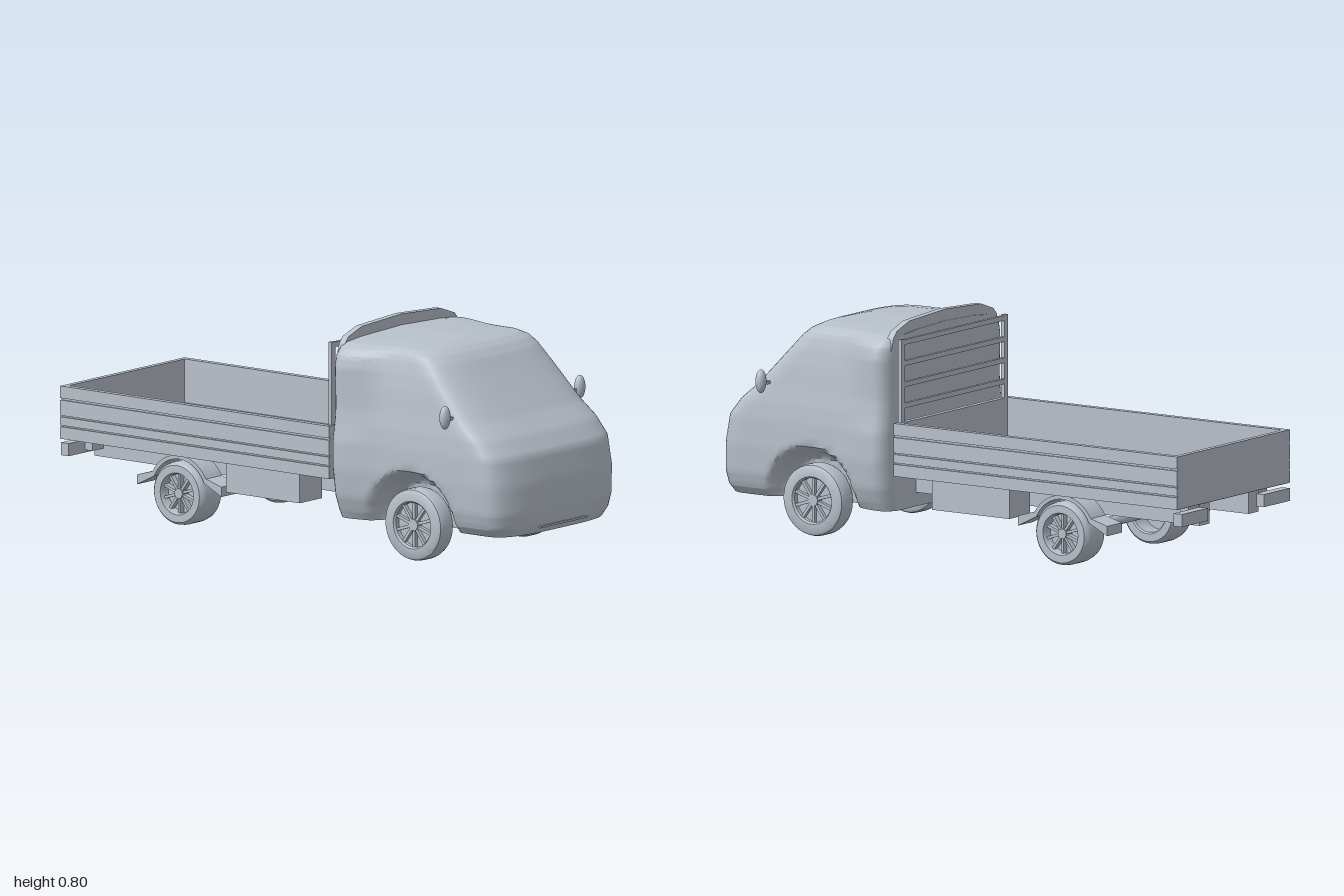
import * as THREE from 'three';
import { toCreasedNormals } from 'three/addons/utils/BufferGeometryUtils.js';

const paint = new THREE.MeshStandardMaterial({ color: 0xb8c0ca, side: THREE.DoubleSide });
paint.name = 'pale grey';

function add(parent, name, geometry) {
  const mesh = new THREE.Mesh(geometry, paint);
  mesh.name = name;
  parent.add(mesh);
  return mesh;
}

// Box given by its limits on each axis
function box(parent, name, x0, x1, y0, y1, z0, z1) {
  const m = add(parent, name, new THREE.BoxGeometry(Math.abs(x1 - x0), y1 - y0, Math.abs(z1 - z0)));
  m.position.set((x0 + x1) / 2, (y0 + y1) / 2, (z0 + z1) / 2);
  return m;
}

// Cab levels: height, front z, half width at the nose, half width at the rear
const levels = [
  [0.12, 0.985, 0.30, 0.335], [0.15, 0.995, 0.325, 0.35], [0.20, 1.0, 0.34, 0.37],
  [0.30, 0.995, 0.348, 0.385], [0.40, 0.977, 0.347, 0.385], [0.46, 0.93, 0.343, 0.375],
  [0.515, 0.865, 0.335, 0.37], [0.60, 0.785, 0.325, 0.372], [0.66, 0.73, 0.315, 0.374],
  [0.70, 0.695, 0.305, 0.365], [0.725, 0.665, 0.295, 0.34], [0.74, 0.635, 0.27, 0.31],
  [0.748, 0.60, 0.20, 0.23], [0.756, 0.56, 0, 0],
];

// Plan outline of the cab at one level, with recessed wheel arches
function cabRing([y, zf, wf, wr]) {
  const width = z => {
    const w = THREE.MathUtils.lerp(wr, wf, THREE.MathUtils.smoothstep(z, 0.28, 0.48));
    const r = Math.hypot(z - 0.58, y - 0.13);
    return w - Math.max(0, w - 0.24) * (1 - THREE.MathUtils.smoothstep(r, 0.135, 0.2));
  };
  const half = [];
  const z0 = zf - 0.12, z1 = 0.29;
  for (let i = 0; i < 12; i++) {
    const a = (i / 12) * Math.PI / 2;
    half.push([width(z0) * Math.sin(a) ** 0.6, z0 + 0.12 * Math.cos(a) ** 0.6]);
  }
  for (let i = 0; i <= 32; i++) {
    const z = z0 + (z1 - z0) * i / 32;
    half.push([width(z), z]);
  }
  const w = width(z1), c = Math.min(0.06, w);
  for (let i = 1; i <= 6; i++) {
    const a = (i / 6) * Math.PI / 2;
    half.push([w - c + c * Math.cos(a), z1 - 0.05 * Math.sin(a)]);
  }
  half.push([0, 0.24]);
  const mirrored = half.slice(1, -1).reverse().map(([x, z]) => [-x, z]);
  return [...half, ...mirrored].map(([x, z]) => [x, y, z]);
}

function cabGeometry() {
  const rings = [cabRing(levels[0]).map(([, y, z]) => [0, y, z])];
  for (let k = 0; k < levels.length - 1; k++) {
    for (let s = 0; s < 5; s++) {
      rings.push(cabRing(levels[k].map((v, i) => THREE.MathUtils.lerp(v, levels[k + 1][i], s / 5))));
    }
  }
  rings.push(cabRing(levels[levels.length - 1]));
  const n = rings[0].length, index = [];
  for (let i = 0; i < rings.length - 1; i++) {
    for (let j = 0; j < n; j++) {
      const a = i * n + j, b = i * n + (j + 1) % n;
      index.push(a, b, b + n, a, b + n, a + n);
    }
  }
  const g = new THREE.BufferGeometry();
  g.setAttribute('position', new THREE.Float32BufferAttribute(rings.flat(2), 3));
  g.setIndex(index);
  return toCreasedNormals(g, 0.7);
}

// Wheel with its axis along x and its outer face towards +x
function makeWheel(name, radius, width) {
  const wheel = new THREE.Group();
  wheel.name = name;
  const h = width / 2, rim = radius * 0.66;
  const profile = [
    [rim, -h], [radius * 0.9, -h], [radius * 0.97, -h * 0.85], [radius, -h * 0.55], [radius, h * 0.55],
    [radius * 0.97, h * 0.85], [radius * 0.9, h], [rim, h], [rim * 0.93, h * 0.8], [rim * 0.93, -h * 0.9], [rim, -h],
  ].map(p => new THREE.Vector2(...p));
  const tyre = add(wheel, 'tyre', toCreasedNormals(new THREE.LatheGeometry(profile, 40), 0.6));
  tyre.rotation.z = -Math.PI / 2;
  const disc = add(wheel, 'rimDisc', new THREE.CylinderGeometry(rim * 0.94, rim * 0.94, 0.006, 32));
  disc.rotation.z = Math.PI / 2;
  disc.position.x = h * 0.3;
  const hub = add(wheel, 'hub', new THREE.CylinderGeometry(rim * 0.24, rim * 0.3, h * 0.6, 20));
  hub.rotation.z = -Math.PI / 2;
  hub.position.x = h * 0.55;
  for (let i = 0; i < 10; i++) {
    const a = i * Math.PI / 5;
    const spoke = add(wheel, 'spoke', new THREE.BoxGeometry(h * 0.35, rim * 0.75, rim * 0.13));
    spoke.position.set(h * 0.6, Math.cos(a) * rim * 0.58, Math.sin(a) * rim * 0.58);
    spoke.rotation.x = a;
  }
  return wheel;
}

// Arched mudguard with flat feet, drawn in the side plane
function mudguardGeometry(width) {
  const s = new THREE.Shape();
  s.moveTo(-0.19, 0.01);
  s.lineTo(-0.11, 0.05);
  s.absarc(0, 0, 0.122, Math.PI - 0.42, 0.42, true);
  s.lineTo(0.19, 0.01);
  s.lineTo(0.19, 0.045);
  s.lineTo(0.125, 0.065);
  s.absarc(0, 0, 0.136, 0.5, Math.PI - 0.5, false);
  s.lineTo(-0.19, 0.045);
  const g = new THREE.ExtrudeGeometry(s, { depth: width, bevelEnabled: false, curveSegments: 20 });
  return toCreasedNormals(g.rotateY(-Math.PI / 2).translate(width / 2, 0, 0), 0.5);
}

export function createModel() {
  const truck = new THREE.Group();
  truck.name = 'flatbedTruck';

  // Cab with roof lip and front slot
  const cab = new THREE.Group();
  cab.name = 'cab';
  truck.add(cab);
  add(cab, 'cabBody', cabGeometry());
  const lip = new THREE.Shape();
  [[-0.33, 0.69], [0.33, 0.69], [0.315, 0.735], [0.295, 0.757], [0.22, 0.783], [0, 0.795],
    [-0.22, 0.783], [-0.295, 0.757], [-0.315, 0.735]]
    .forEach(([x, y], i) => (i ? lip.lineTo(x, y) : lip.moveTo(x, y)));
  const lipGeometry = new THREE.ExtrudeGeometry(lip, { depth: 0.025, bevelEnabled: false });
  add(cab, 'roofLip', lipGeometry.translate(0, 0, 0.241));
  box(cab, 'frontSlot', -0.13, 0.13, 0.138, 0.145, 0.98, 0.998);

  // Chassis
  box(truck, 'gearbox', -0.06, 0.06, 0.15, 0.21, 0.14, 0.26);
  const axle = add(truck, 'rearAxle', new THREE.CylinderGeometry(0.018, 0.018, 0.5, 16));
  axle.rotation.z = Math.PI / 2;
  axle.position.set(0, 0.115, -0.48);

  // Parts repeated on both sides
  for (const s of [1, -1]) {
    const side = s > 0 ? 'left' : 'right';
    box(truck, side + 'Rail', s * 0.12, s * 0.18, 0.17, 0.25, -0.97, 0.26);
    box(truck, side + 'TailLight', s * 0.17, s * 0.33, 0.19, 0.235, -1.0, -0.965);
    box(truck, side + 'TailBracket', s * 0.18, s * 0.24, 0.2, 0.25, -0.965, -0.93);
    box(truck, side + 'ToolBox', s * 0.2, s * 0.325, 0.145, 0.25, -0.26, 0.07);

    const front = makeWheel(side + 'FrontWheel', 0.128, 0.08);
    front.position.set(s * 0.29, 0.128, 0.58);
    const rear = makeWheel(side + 'RearWheel', 0.113, 0.12);
    rear.position.set(s * 0.268, 0.113, -0.48);
    for (const w of [front, rear]) {
      w.rotation.y = s > 0 ? 0 : Math.PI;
      truck.add(w);
    }
    add(truck, side + 'Mudguard', mudguardGeometry(0.09)).position.set(s * 0.27, 0.113, -0.48);

    const mirror = add(cab, side + 'Mirror', new THREE.SphereGeometry(1, 24, 16));
    mirror.scale.set(0.022, 0.042, 0.018);
    mirror.position.set(s * 0.375, 0.54, 0.765);
    box(cab, side + 'MirrorArm', s * 0.325, s * 0.365, 0.526, 0.536, 0.755, 0.767);
  }

  // Cargo bed with ribbed side boards
  const bed = new THREE.Group();
  bed.name = 'cargoBed';
  truck.add(bed);
  box(bed, 'floor', -0.335, 0.335, 0.25, 0.285, -0.985, 0.215);
  box(bed, 'frontBoard', -0.34, 0.34, 0.252, 0.44, 0.2, 0.22);
  box(bed, 'tailBoard', -0.34, 0.34, 0.252, 0.44, -0.99, -0.97);
  for (const s of [1, -1]) {
    box(bed, 'sideBoard', s * 0.322, s * 0.34, 0.252, 0.44, -0.988, 0.218);
    for (const [y0, y1] of [[0.252, 0.295], [0.3, 0.33], [0.335, 0.39], [0.397, 0.44]]) {
      box(bed, 'sidePlank', s * 0.338, s * 0.346, y0, y1, -0.99, 0.22);
    }
  }

  // Headboard frame behind the cab
  for (const s of [1, -1]) box(bed, 'headboardPost', s * 0.305, s * 0.325, 0.42, 0.735, 0.2, 0.215);
  for (const y of [0.5, 0.575, 0.65, 0.725]) {
    box(bed, 'headboardBar', -0.32, 0.32, y - 0.01, y + 0.008, 0.2, 0.213);
  }
  return truck;
}
